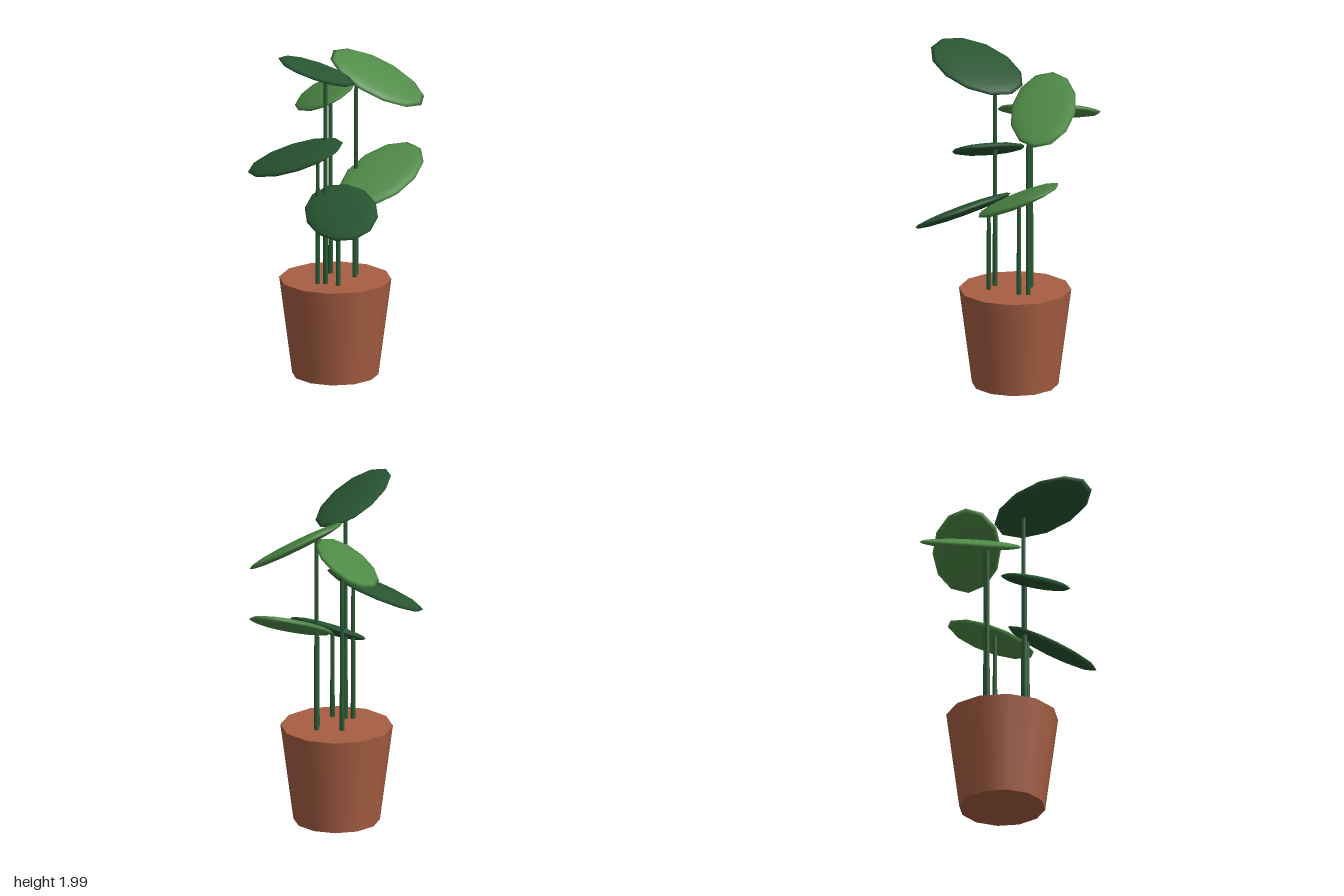
import * as THREE from 'three';

const POT_TOP = 0.575;

// One entry per leaf: centre, heading of its long axis (x, z),
// slope of the blade along x and z, and the foot of its stem (x, z)
const LEAVES = [
  { name: 'topLeaf', tone: 'dark', centre: [-0.205, 1.885, 0.103], heading: [-0.87, 0.5], slope: [-0.43, -0.09], stem: [-0.115, 0.03] },
  { name: 'upperLeftLeaf', tone: 'light', centre: [0.272, 1.732, -0.09], heading: [0.888, 0.46], slope: [-0.307, -0.525], stem: [0.125, -0.065] },
  { name: 'backLeaf', tone: 'light', centre: [0.022, 1.634, -0.25], heading: [0.32, -0.947], slope: [0.434, 0.244], stem: [0, -0.145] },
  { name: 'middleRightLeaf', tone: 'dark', centre: [-0.287, 1.345, -0.012], heading: [-0.68, -0.73], slope: [0.41, 0.08], stem: [-0.155, 0.01] },
  { name: 'lowerLeftLeaf', tone: 'light', centre: [0.23, 1.192, 0.05], heading: [0.94, -0.33], slope: [0.35, -0.35], stem: [0.095, -0.02] },
  { name: 'frontLeaf', tone: 'dark', centre: [-0.112, 1.058, 0.238], heading: [0, 1], slope: [0.47, -0.2], stem: [-0.065, 0.095] },
];

export function createModel() {
  const plant = new THREE.Group();
  plant.name = 'pottedPlant';

  const clay = new THREE.MeshStandardMaterial({ color: 0xa85f43 });
  const stemGreen = new THREE.MeshStandardMaterial({ color: 0x2a5a35 });
  const leafGreens = {
    dark: new THREE.MeshStandardMaterial({ color: 0x285632 }),
    light: new THREE.MeshStandardMaterial({ color: 0x4f8a47 }),
  };

  // Tapered twelve-sided pot with a closed top
  const pot = new THREE.Mesh(new THREE.CylinderGeometry(0.325, 0.25, POT_TOP, 12), clay);
  pot.name = 'pot';
  pot.position.set(-0.015, POT_TOP / 2, -0.05);
  plant.add(pot);

  // Leaf blade: a flattened sphere, long axis on x, blade facing y
  const blade = new THREE.SphereGeometry(1, 12, 8);
  blade.rotateY(Math.PI / 12);
  blade.scale(0.305, 0.03, 0.2);

  for (const { name, tone, centre, heading, slope, stem } of LEAVES) {
    // Leaf turned so that its blade follows the slope
    const normal = new THREE.Vector3(-slope[0], 1, -slope[1]).normalize();
    const along = new THREE.Vector3(
      heading[0], heading[0] * slope[0] + heading[1] * slope[1], heading[1]).normalize();
    const across = new THREE.Vector3().crossVectors(along, normal).normalize();
    const leaf = new THREE.Mesh(blade, leafGreens[tone]);
    leaf.name = name;
    leaf.quaternion.setFromRotationMatrix(new THREE.Matrix4().makeBasis(along, normal, across));
    leaf.position.set(...centre);
    plant.add(leaf);

    // Stem from inside the pot up into the blade
    const foot = POT_TOP - 0.03;
    const tip = centre[1] + slope[0] * (stem[0] - centre[0]) + slope[1] * (stem[1] - centre[2]) + 0.015;
    const stalk = new THREE.Mesh(new THREE.CylinderGeometry(0.011, 0.015, tip - foot, 8), stemGreen);
    stalk.name = name + 'Stem';
    stalk.position.set(stem[0], (tip + foot) / 2, stem[1]);
    plant.add(stalk);
  }

  return plant;
}
